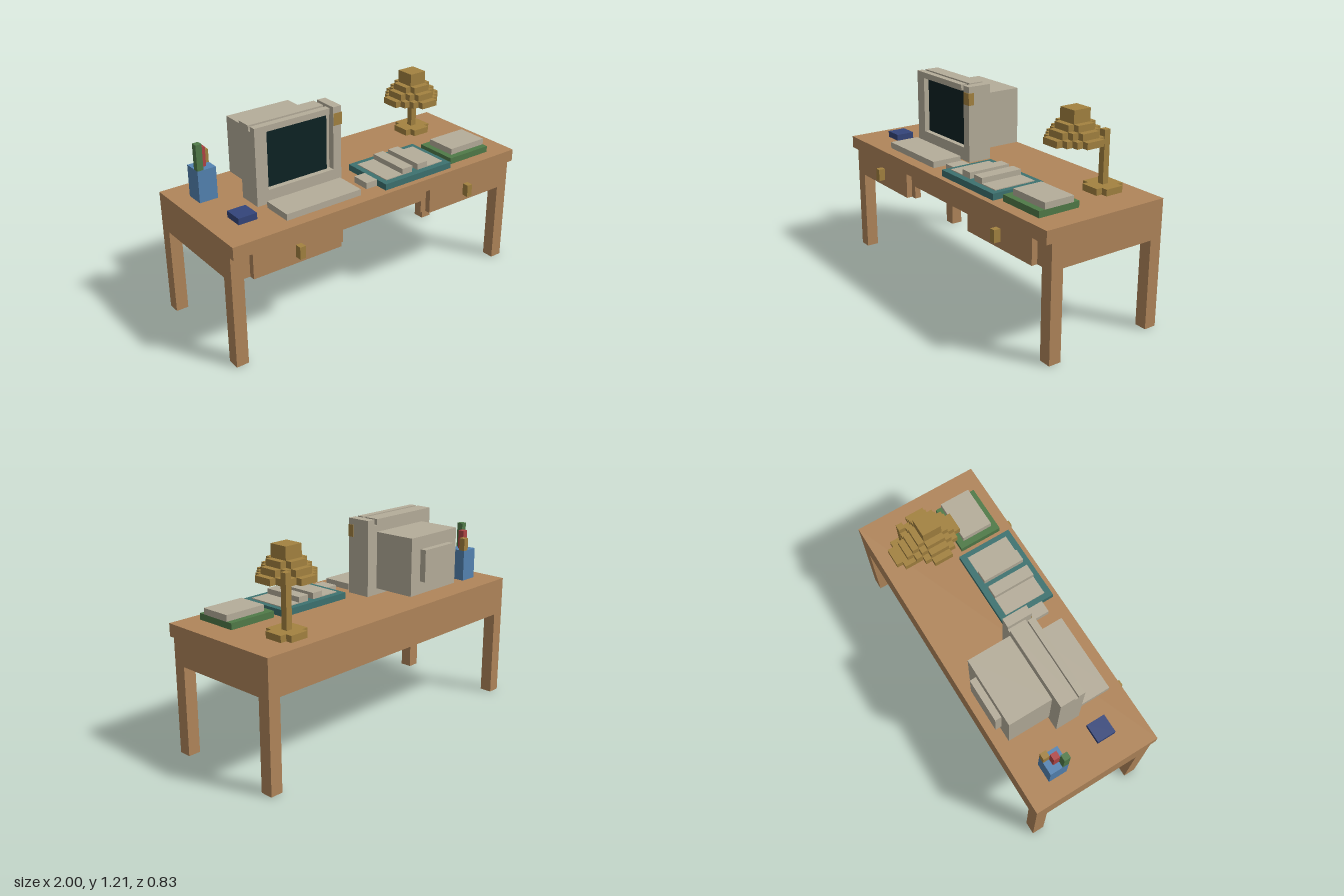
import * as THREE from 'three';

const mat = (name, color) => {
  const m = new THREE.MeshStandardMaterial({ color });
  m.name = name;
  return m;
};

export function createModel() {
  const root = new THREE.Group();
  root.name = 'deskWithComputer';
  const wood = mat('wood', 0xb0855a), cream = mat('cream', 0xb5ad9a), brass = mat('brass', 0xa38240);
  const teal = mat('teal', 0x3d7270), green = mat('green', 0x507a48), blue = mat('blue', 0x5483b2);
  const red = mat('red', 0xb04545), navy = mat('navy', 0x34457a), glass = mat('screenGlass', 0x0c2224);

  const group = (name) => {
    const g = new THREE.Group();
    g.name = name;
    root.add(g);
    return g;
  };
  // box given by its low and high limits on each axis
  const box = (parent, name, material, [x0, x1], [y0, y1], [z0, z1]) => {
    const m = new THREE.Mesh(new THREE.BoxGeometry(x1 - x0, y1 - y0, z1 - z0), material);
    m.position.set((x0 + x1) / 2, (y0 + y1) / 2, (z0 + z1) / 2);
    m.name = name;
    parent.add(m);
  };
  const T = 0.755, L1 = 0.793, L2 = 0.83; // desk surface and the two layers above it

  // desk
  const desk = group('desk');
  box(desk, 'tabletop', wood, [-1, 1], [0.68, T], [-0.415, 0.375]);
  box(desk, 'backApron', wood, [-0.925, 0.925], [0.53, 0.68], [-0.415, -0.378]);
  box(desk, 'frontApron', wood, [-0.285, 0.285], [0.605, 0.68], [0.302, 0.34]);
  for (const s of [-1, 1]) {
    const span = (a, b) => (s > 0 ? [a, b] : [-b, -a]);
    box(desk, 'frontLeg', wood, span(0.925, 1), [0, 0.68], [0.265, 0.34]);
    box(desk, 'backLeg', wood, span(0.925, 1), [0, 0.68], [-0.415, -0.34]);
    box(desk, 'sideApron', wood, span(0.962, 1), [0.53, 0.68], [-0.34, 0.265]);
    box(desk, 'frontApronEnd', wood, span(0.285, 0.925), [0.53, 0.68], [0.302, 0.34]);
    box(desk, 'drawerFront', wood, span(0.322, 0.887), [0.53, 0.68], [0.34, 0.375]);
    box(desk, 'drawerKnob', brass, span(0.587, 0.623), [0.57, 0.643], [0.375, 0.415]);
  }

  // monitor: grooved case, recessed screen and rear housing
  const monitor = group('monitor');
  box(monitor, 'caseBack', cream, [-0.663, -0.175], [T, 1.21], [-0.075, 0.015]);
  box(monitor, 'caseMiddle', cream, [-0.663, -0.175], [T, 1.18], [0.015, 0.035]);
  box(monitor, 'caseGroove', cream, [-0.175, -0.152], [T, 1.175], [-0.075, 0.035]);
  box(monitor, 'sideColumn', cream, [-0.152, -0.097], [T, 1.21], [-0.075, 0.075]);
  box(monitor, 'bezelLeft', cream, [-0.663, -0.588], [T, 1.21], [0.035, 0.075]);
  box(monitor, 'bezelTop', cream, [-0.588, -0.175], [1.175, 1.21], [0.035, 0.075]);
  box(monitor, 'bezelBottom', cream, [-0.588, -0.152], [T, 0.835], [0.035, 0.075]);
  box(monitor, 'screen', glass, [-0.588, -0.175], [0.835, 1.175], [0.035, 0.042]);
  box(monitor, 'rearHousing', cream, [-0.588, -0.175], [L1, 1.135], [-0.338, -0.075]);
  box(monitor, 'rearPlate', cream, [-0.513, -0.255], [0.87, 1.06], [-0.376, -0.338]);
  box(monitor, 'sticker', brass, [-0.15, -0.094], [1.1, 1.172], [0.04, 0.078]);

  // keyboard, mouse and small box
  box(root, 'keyboard', cream, [-0.625, -0.133], [T, L1], [0.112, 0.302]);
  box(root, 'mouse', cream, [-0.06, 0.015], [T, L1], [0.15, 0.262]);
  box(root, 'smallBox', navy, [-0.852, -0.738], [T, L1], [0.075, 0.19]);

  // open book with raised pages beside the fold
  const book = group('openBook');
  box(book, 'cover', teal, [0.015, 0.508], [T, L1], [0, 0.34]);
  for (const s of [-1, 1]) {
    const span = (a, b) => (s > 0 ? [0.262 + a, 0.262 + b] : [0.262 - b, 0.262 - a]);
    box(book, 'page', cream, span(0.093, 0.213), [L1, L1 + 0.005], [0.038, 0.302]);
    box(book, 'raisedPage', cream, span(0.02, 0.093), [L1, L2], [0.038, 0.302]);
  }

  // green book with notepad
  box(root, 'greenBook', green, [0.545, 0.847], [T, L1], [0.038, 0.302]);
  box(root, 'notepad', cream, [0.583, 0.847], [L1, L2], [0.075, 0.265]);

  // pencil cup
  const cup = group('pencilCup');
  box(cup, 'cup', blue, [-0.889, -0.776], [T, 0.945], [-0.267, -0.153]);
  box(cup, 'greenPencil', green, [-0.889, -0.852], [0.945, 1.097], [-0.191, -0.153]);
  box(cup, 'redPencil', red, [-0.852, -0.814], [0.945, 1.06], [-0.229, -0.191]);
  box(cup, 'brassPencil', brass, [-0.814, -0.776], [0.945, 1.022], [-0.267, -0.229]);

  // lamp: stepped discs, the lower ones open inside
  const lamp = group('lamp');
  const U = 0.0377;
  const outline = (steps) => {
    // steps: half widths of a stair-edged circle, in units, from widest to narrowest
    const quarter = [];
    steps.forEach((w, i) => {
      const h = steps[steps.length - 1 - i];
      quarter.push([w, i ? steps[steps.length - i] : 0], [w, h]);
    });
    const pts = [];
    for (let k = 0; k < 4; k++) {
      const a = (k * Math.PI) / 2, c = Math.round(Math.cos(a)), s = Math.round(Math.sin(a));
      for (const [x, y] of quarter) pts.push(new THREE.Vector2((x * c - y * s) * U, (x * s + y * c) * U));
    }
    return pts;
  };
  const disc = (name, steps, hole, x, z, y0, y1) => {
    const shape = new THREE.Shape(outline(steps));
    if (hole) shape.holes.push(new THREE.Path(outline(hole)));
    const g = new THREE.ExtrudeGeometry(shape, { depth: y1 - y0, bevelEnabled: false });
    g.rotateX(-Math.PI / 2);
    const m = new THREE.Mesh(g, brass);
    m.position.set(x, y0, z);
    m.name = name;
    lamp.add(m);
  };
  disc('lampBase', [2.5, 1.5], null, 0.713, -0.244, T, L1);
  box(lamp, 'lampPost', brass, [0.694, 0.732], [L1, 1.098], [-0.265, -0.227]);
  disc('shadeLower', [4.5, 3.5, 2.5, 1.5], [3.4, 2.4, 1.4], 0.6, -0.131, 1.022, 1.06);
  disc('shadeMiddle', [3.5, 2.5, 1.5], [2.4, 1.4], 0.6, -0.131, 1.06, 1.098);
  disc('shadeUpper', [2.5, 1.5], null, 0.6, -0.131, 1.098, 1.135);
  box(lamp, 'shadeCap', brass, [0.543, 0.657], [1.135, 1.21], [-0.188, -0.074]);

  return root;
}
